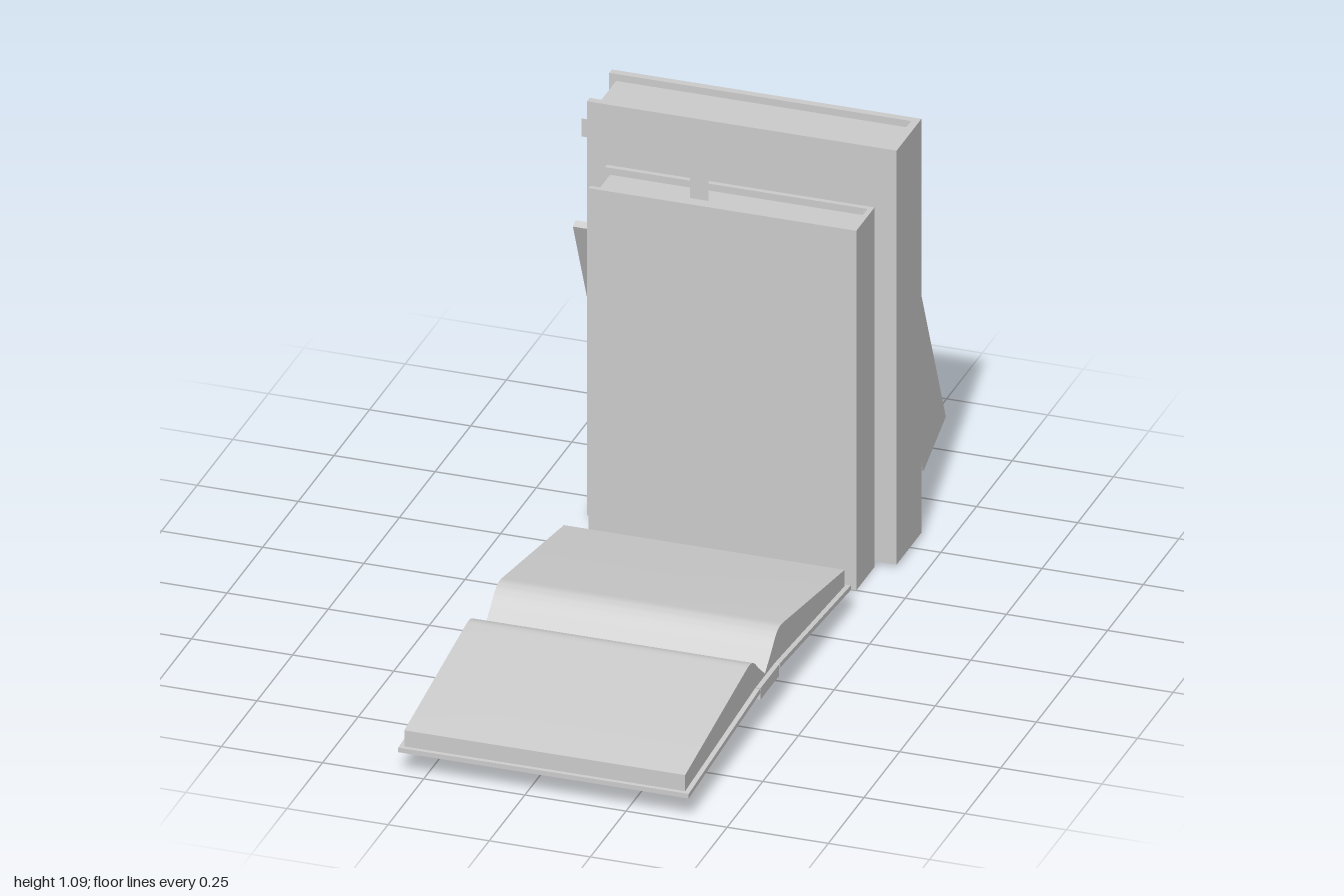
import * as THREE from 'three';
import { toCreasedNormals } from 'three/addons/utils/BufferGeometryUtils.js';

const material = new THREE.MeshStandardMaterial({ color: 0xcccccc });
const sheetMaterial = new THREE.MeshStandardMaterial({ color: 0xcccccc, side: THREE.DoubleSide });

function addBox(parent, name, w, h, d, x, y, z) {
  const mesh = new THREE.Mesh(new THREE.BoxGeometry(w, h, d), material);
  mesh.name = name;
  mesh.position.set(x, y, z);
  parent.add(mesh);
}

// Closed book centred on its own origin, spine towards +x
function closedBook(name, w, h, d, board, inset) {
  const book = new THREE.Group();
  book.name = name;
  addBox(book, 'frontCover', w - board, h, board, -board / 2, 0, (d - board) / 2);
  addBox(book, 'backCover', w - board, h, board, -board / 2, 0, -(d - board) / 2);
  addBox(book, 'spine', board, h, d, (w - board) / 2, 0, 0);
  addBox(book, 'pages', w - board - inset, h - 0.036, d - 2 * board, (inset - board) / 2, 0, 0);
  return book;
}

// Extrudes a (z, y) outline along x, from x0 to x1
function extrudeAlongX(name, shape, x0, x1) {
  const flat = new THREE.ExtrudeGeometry(shape, { depth: x1 - x0, bevelEnabled: false, curveSegments: 12 });
  flat.rotateY(-Math.PI / 2);
  flat.translate(x1, 0, 0);
  const mesh = new THREE.Mesh(toCreasedNormals(flat, 0.5), material);
  mesh.name = name;
  return mesh;
}

// Thin sheet in the xy plane
function sheet(name, points, z) {
  const shape = new THREE.Shape(points.map(([x, y]) => new THREE.Vector2(x, y)));
  const mesh = new THREE.Mesh(new THREE.ShapeGeometry(shape), sheetMaterial);
  mesh.name = name;
  mesh.position.z = z;
  return mesh;
}

function openBook() {
  const book = new THREE.Group();
  book.name = 'openBook';

  // Tilted cover boards, mirrored about the gutter
  for (const s of [1, -1]) {
    const cover = new THREE.Shape();
    cover.moveTo(s * 0.569, 0.061);
    cover.lineTo(s * 0.569, 0.073);
    cover.lineTo(s * 0.07, 0.108);
    cover.lineTo(s * 0.065, 0.096);
    cover.closePath();
    book.add(extrudeAlongX(s > 0 ? 'frontBoard' : 'backBoard', cover, -0.313, 0.405));

    // Page block with a rounded hump falling into the gutter
    const pages = new THREE.Shape();
    pages.moveTo(s * 0.56, 0.074);
    pages.lineTo(s * 0.56, 0.116);
    pages.lineTo(s * 0.125, 0.186);
    pages.bezierCurveTo(s * 0.085, 0.192, s * 0.07, 0.172, s * 0.045, 0.149);
    pages.lineTo(0, 0.113);
    pages.lineTo(0, 0.107);
    pages.lineTo(s * 0.07, 0.108);
    pages.closePath();
    book.add(extrudeAlongX(s > 0 ? 'frontPages' : 'backPages', pages, -0.301, 0.393));
  }
  addBox(book, 'spine', 0.718, 0.03, 0.13, 0.046, 0.093, 0);
  book.position.z = 0.431;
  return book;
}

export function createModel() {
  const model = new THREE.Group();
  model.name = 'books';

  // Short upright book with a notched ribbon
  const shortBook = closedBook('shortBook', 0.662, 0.94, 0.128, 0.013, 0.013);
  shortBook.position.set(0.048, 0.472, -0.314);
  model.add(shortBook);
  model.add(sheet('bookmark', [[-0.055, 0.9], [-0.009, 0.9], [-0.009, 1.035], [-0.032, 1.0], [-0.055, 1.035]], -0.314));

  // Tall upright book with a page tab
  const tallBook = closedBook('tallBook', 0.765, 1.082, 0.174, 0.019, 0.017);
  tallBook.position.set(0.047, 0.552, -0.477);
  model.add(tallBook);
  model.add(sheet('pageTab', [[-0.38, 0.952], [-0.3, 0.952], [-0.3, 0.999], [-0.38, 0.999]], -0.477));

  // Book leaning against the tall one
  const leaningBook = closedBook('leaningBook', 0.77, 0.697, 0.17, 0.02, 0.02);
  leaningBook.position.set(-0.049, 0.376, -0.785);
  leaningBook.rotation.x = 0.405;
  model.add(leaningBook);

  model.add(openBook());
  return model;
}
